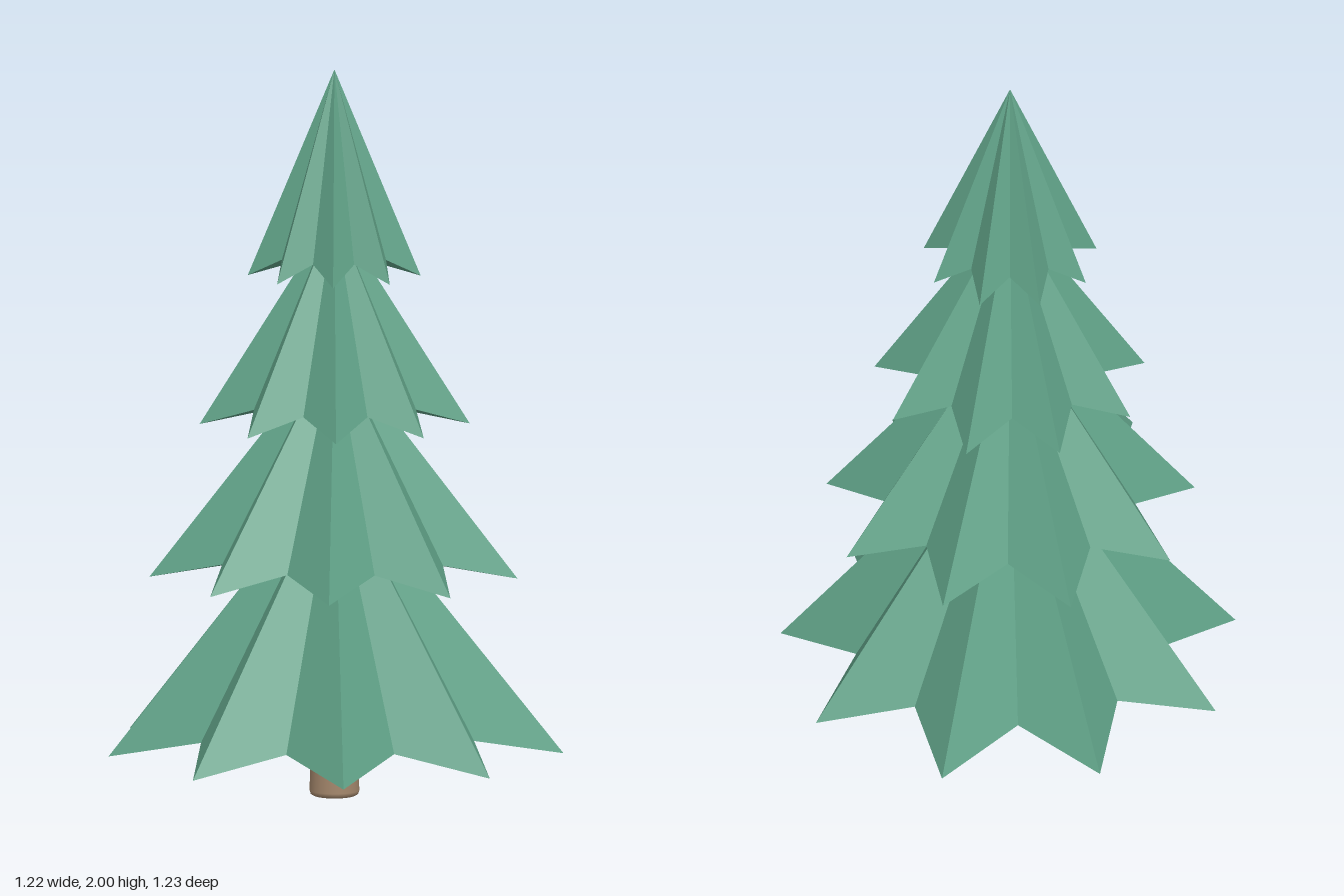
import * as THREE from 'three';

const POINTS = 9; // branch tips on each tier
const AXIS_X = -0.02; // the trunk axis sits slightly off the bounding-box centre

const needles = new THREE.MeshStandardMaterial({ color: 0x5fa086, flatShading: true });
needles.name = 'needle green';
const bark = new THREE.MeshStandardMaterial({ color: 0xa3866b });
bark.name = 'bark brown';

// Star-shaped cone: long tips hang lower than the valleys between them
function starCone({ radius, valley, tipY, valleyY, hubY, apexY, turn }) {
  const rim = [];
  for (let i = 0; i < POINTS * 2; i++) {
    const a = THREE.MathUtils.degToRad(turn) + (i * Math.PI) / POINTS;
    const isTip = i % 2 === 0;
    const r = isTip ? radius : valley;
    rim.push([r * Math.cos(a), isTip ? tipY : valleyY, r * Math.sin(a)]);
  }
  const position = [];
  rim.forEach((p, i) => {
    const q = rim[(i + 1) % rim.length];
    position.push(0, apexY, 0, ...q, ...p); // upper side
    position.push(0, hubY, 0, ...p, ...q); // underside
  });
  const geometry = new THREE.BufferGeometry();
  geometry.setAttribute('position', new THREE.Float32BufferAttribute(position, 3));
  geometry.computeVertexNormals();
  return geometry;
}

export function createModel() {
  const tree = new THREE.Group();
  tree.name = 'firTree';

  // Four tiers of branches, bottom to top
  const tiers = [
    { name: 'bottomTier', radius: 0.627, valley: 0.428, tipY: 0.13, valleyY: 0.185, hubY: 0.205, apexY: 0.9, turn: -2.6 },
    { name: 'lowerTier', radius: 0.507, valley: 0.346, tipY: 0.615, valleyY: 0.665, hubY: 0.68, apexY: 1.25, turn: 1.3 },
    { name: 'upperTier', radius: 0.372, valley: 0.254, tipY: 1.035, valleyY: 1.085, hubY: 1.1, apexY: 1.61, turn: -1 },
    { name: 'topTier', radius: 0.238, valley: 0.163, tipY: 1.44, valleyY: 1.49, hubY: 1.5, apexY: 2, turn: 0.5 },
  ];
  for (const tier of tiers) {
    const mesh = new THREE.Mesh(starCone(tier), needles);
    mesh.name = tier.name;
    mesh.position.x = AXIS_X;
    tree.add(mesh);
  }

  // Tapered trunk with a softened foot
  const profile = [[0, 0], [0.058, 0], [0.065, 0.004], [0.068, 0.014], [0.06, 0.22]];
  const trunk = new THREE.Mesh(
    new THREE.LatheGeometry(profile.map(([r, y]) => new THREE.Vector2(r, y)), 24),
    bark
  );
  trunk.name = 'trunk';
  trunk.position.x = AXIS_X;
  tree.add(trunk);

  return tree;
}
